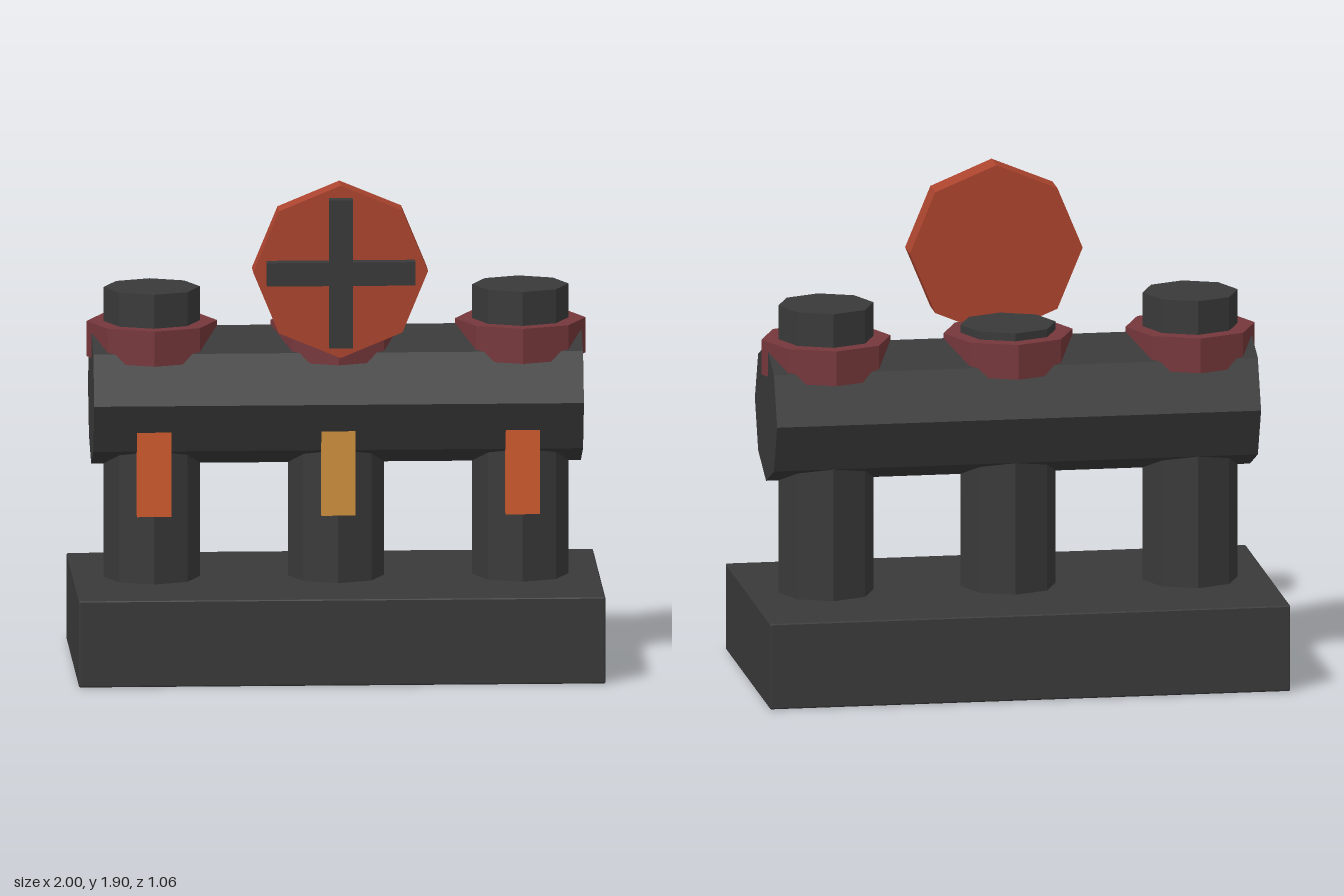
import * as THREE from 'three';
import { RoundedBoxGeometry } from 'three/addons/geometries/RoundedBoxGeometry.js';

const paint = (name, color) => {
  const m = new THREE.MeshStandardMaterial({ color });
  m.name = name;
  return m;
};

// Eight-sided prism with flat faces
const octagon = (radius, height) =>
  new THREE.CylinderGeometry(radius, radius, height, 8).toNonIndexed();

export function createModel() {
  const iron = paint('dark iron', 0x393939);
  const rust = paint('rust red', 0xac442e);
  const maroon = paint('maroon', 0x75373a);
  const orange = paint('orange', 0xd05a2f);
  const gold = paint('gold', 0xd0903c);
  const group = new THREE.Group();

  const add = (name, geometry, material, x, y, z) => {
    geometry.computeVertexNormals();
    const mesh = new THREE.Mesh(geometry, material);
    mesh.name = name;
    mesh.position.set(x, y, z);
    group.add(mesh);
    return mesh;
  };
  const box = (name, w, h, d, material, x, y, z) =>
    add(name, new THREE.BoxGeometry(w, h, d), material, x, y, z);

  // Plinth with a hairline bevel
  add('base', new RoundedBoxGeometry(2, 0.334, 1.06, 1, 0.006), iron, 0, 0.167, 0);

  // Horizontal pipe across the columns
  add('pipe', octagon(0.265, 1.86), iron, 0, 1.035, 0).rotation.z = Math.PI / 2;

  // Columns with collars and front tags; the middle one is shorter
  for (const side of [-1, 0, 1]) {
    const x = side * 0.7;
    const top = side ? 1.45 : 1.35;
    add('column', octagon(0.183, top - 0.3), iron, x, (top + 0.3) / 2, 0);
    add('collar', octagon(0.248, 0.135), maroon, x, 1.252, 0);
    box('tag', 0.13, 0.325, 0.06, side ? orange : gold, x, 0.763, 0.19);
  }

  // Hand wheel with a raised cross
  add('wheel', octagon(0.332, 0.115), rust, 0, 1.57, 0.335).rotation.x = Math.PI / 2;
  box('crossUpright', 0.09, 0.57, 0.06, iron, 0, 1.57, 0.417);
  for (const side of [-1, 1]) {
    box('crossArm', 0.237, 0.09, 0.06, iron, side * 0.1635, 1.57, 0.417);
  }
  return group;
}
